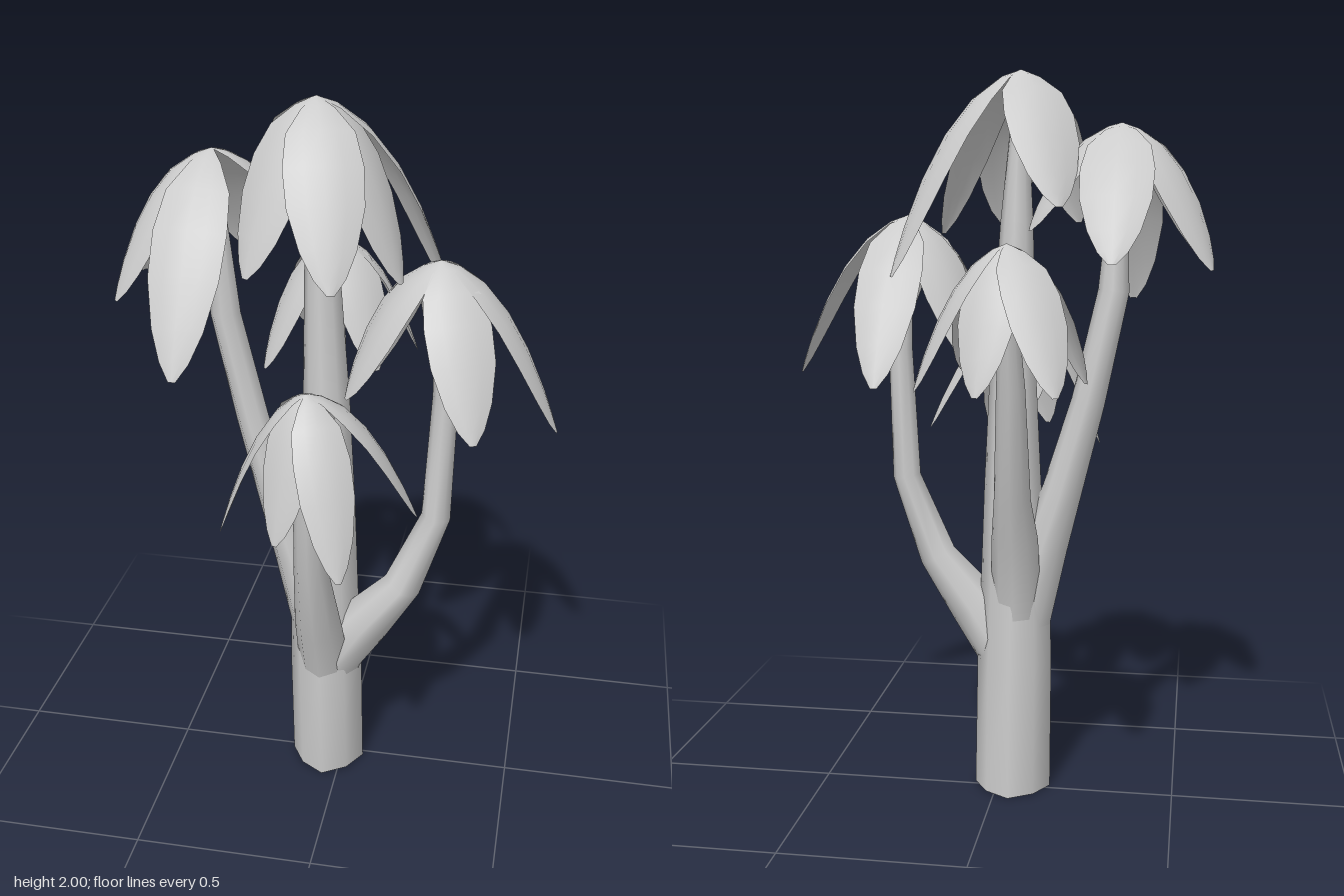
import * as THREE from 'three';

const V = (x, y, z) => new THREE.Vector3(x, y, z);
const bark = new THREE.MeshStandardMaterial({ color: 0xcccccc });
const leafMat = new THREE.MeshStandardMaterial({ color: 0xcccccc, side: THREE.DoubleSide });

// Skin rows of points into a smooth surface
function loft(rows, closed) {
  const n = rows[0].length, index = [];
  for (let i = 0; i < rows.length - 1; i++) {
    for (let j = 0; j < (closed ? n : n - 1); j++) {
      const k = (j + 1) % n;
      const a = i * n + j, b = i * n + k, c = a + n, d = b + n;
      index.push(a, c, b, b, c, d);
    }
  }
  const geo = new THREE.BufferGeometry().setFromPoints(rows.flat());
  geo.setIndex(index);
  geo.computeVertexNormals();
  return geo;
}

// Tapering eight-sided limb through [x, y, z, radius] stations
function limb(name, stations) {
  const pts = stations.map(s => V(s[0], s[1], s[2]));
  const rows = pts.map((p, i) => {
    const t = pts[Math.min(i + 1, pts.length - 1)].clone().sub(pts[Math.max(i - 1, 0)]).normalize();
    if (i === 0) t.set(0, 1, 0);
    const u = t.clone().cross(V(0, 0, 1)).normalize();
    const v = u.clone().cross(t);
    return Array.from({ length: 8 }, (_, j) => {
      const a = j / 4 * Math.PI;
      const r = stations[i][3] * (j % 2 ? 0.88 : 1);
      return p.clone().addScaledVector(u, Math.cos(a) * r).addScaledVector(v, Math.sin(a) * r);
    });
  });
  const mesh = new THREE.Mesh(loft(rows, true), bark);
  mesh.name = name;
  return mesh;
}

// Drooping leaf: [position along the leaf, relative half-width]
const OUTLINE = [[0, 0.05], [0.13, 0.42], [0.32, 0.86], [0.52, 1], [0.7, 0.96], [0.86, 0.7], [0.95, 0.4], [1, 0.1]];

function leaf(from, to, width) {
  const ctrl = V(
    from.x + (to.x - from.x) * 0.56,
    from.y + (to.y - from.y) * 0.08,
    from.z + (to.z - from.z) * 0.56);
  const curve = new THREE.QuadraticBezierCurve3(from, ctrl, to);
  const side = V(to.z - from.z, 0, from.x - to.x).normalize();
  const rows = OUTLINE.map(([t, w]) => {
    const p = curve.getPoint(t);
    const up = curve.getTangent(t).cross(side).normalize();
    if (up.y < 0) up.negate();
    return [-1, -0.5, 0, 0.5, 1].map(s => p.clone()
      .addScaledVector(side, s * w * width / 2)
      .addScaledVector(up, -s * s * w * width * 0.11));
  });
  const mesh = new THREE.Mesh(loft(rows, false), leafMat);
  mesh.name = 'leaf';
  return mesh;
}

// Crowns: apex, leaf width and leaf tips
const CROWNS = [
  { name: 'topCrown', at: [-0.06, 2.0, 0.03], width: 0.195,
    tips: [[-0.19, 1.64, -0.2], [0.26, 1.46, -0.15], [0.03, 1.6, 0.32], [-0.2, 1.6, 0.24], [0.17, 1.57, 0.12]] },
  { name: 'rightCrown', at: [-0.33, 1.86, 0.02], width: 0.19,
    tips: [[-0.575, 1.48, -0.12], [-0.555, 1.5, 0.18], [-0.35, 1.38, 0.39], [-0.33, 1.5, -0.315], [-0.1, 1.58, -0.1]] },
  { name: 'leftCrown', at: [0.26, 1.62, 0.07], width: 0.175,
    tips: [[0.28, 1.18, -0.275], [0.575, 1.18, 0.075], [0.38, 1.24, 0.32], [0.04, 1.28, 0.19], [0.05, 1.22, -0.1]] },
  { name: 'frontCrown', at: [-0.03, 1.35, 0.33], width: 0.145,
    tips: [[0.09, 0.95, 0.54], [-0.09, 0.99, 0.46], [-0.26, 0.95, 0.34], [0.24, 1.0, 0.26], [-0.07, 1.08, 0.15]] },
  { name: 'backCrown', at: [-0.07, 1.55, -0.3], width: 0.155,
    tips: [[-0.22, 1.2, -0.54], [-0.02, 1.19, -0.49], [0.15, 1.19, -0.39], [0.07, 1.22, -0.14], [-0.26, 1.19, -0.17]] },
];

export function createModel() {
  const tree = new THREE.Group();
  tree.name = 'tree';

  // Trunk and its four branches, which swell out of it
  tree.add(
    limb('trunk', [[-0.043, 0, 0.018, 0.108], [-0.045, 0.37, 0.033, 0.106], [-0.048, 0.6, 0.03, 0.098],
      [-0.04, 0.88, 0.03, 0.08], [-0.04, 1.2, 0.03, 0.064], [-0.05, 1.6, 0.03, 0.045], [-0.06, 1.98, 0.03, 0.015]]),
    limb('rightBranch', [[-0.05, 0.2, 0.03, 0.06], [-0.08, 0.5, 0.03, 0.07], [-0.13, 0.71, 0.025, 0.066],
      [-0.18, 0.87, 0.02, 0.055], [-0.25, 1.12, 0.01, 0.046], [-0.315, 1.42, 0.01, 0.042], [-0.33, 1.84, 0.02, 0.015]]),
    limb('leftBranch', [[-0.04, 0.2, 0.035, 0.06], [-0.015, 0.38, 0.045, 0.075], [0.07, 0.52, 0.055, 0.077],
      [0.18, 0.66, 0.06, 0.054], [0.268, 0.89, 0.06, 0.04], [0.282, 1.25, 0.06, 0.034], [0.26, 1.6, 0.07, 0.014]]),
    limb('frontBranch', [[-0.045, 0.18, 0.035, 0.06], [-0.045, 0.38, 0.065, 0.075], [-0.045, 0.55, 0.14, 0.068],
      [-0.045, 0.8, 0.235, 0.047], [-0.04, 1.05, 0.275, 0.04], [-0.03, 1.33, 0.33, 0.014]]),
    limb('backBranch', [[-0.05, 0.3, 0.02, 0.06], [-0.055, 0.55, 0, 0.07], [-0.06, 0.75, -0.07, 0.064],
      [-0.06, 0.87, -0.12, 0.05], [-0.07, 1.18, -0.225, 0.038], [-0.07, 1.53, -0.3, 0.014]]));

  const base = new THREE.Mesh(new THREE.CircleGeometry(0.1, 8), bark);
  base.name = 'trunkBase';
  base.rotation.x = Math.PI / 2;
  base.position.set(-0.043, 0, 0.018);
  tree.add(base);

  // Leaf crowns
  for (const { name, at, width, tips } of CROWNS) {
    const crown = new THREE.Group();
    crown.name = name;
    for (const tip of tips) crown.add(leaf(V(...at), V(...tip), width));
    tree.add(crown);
  }
  return tree;
}
